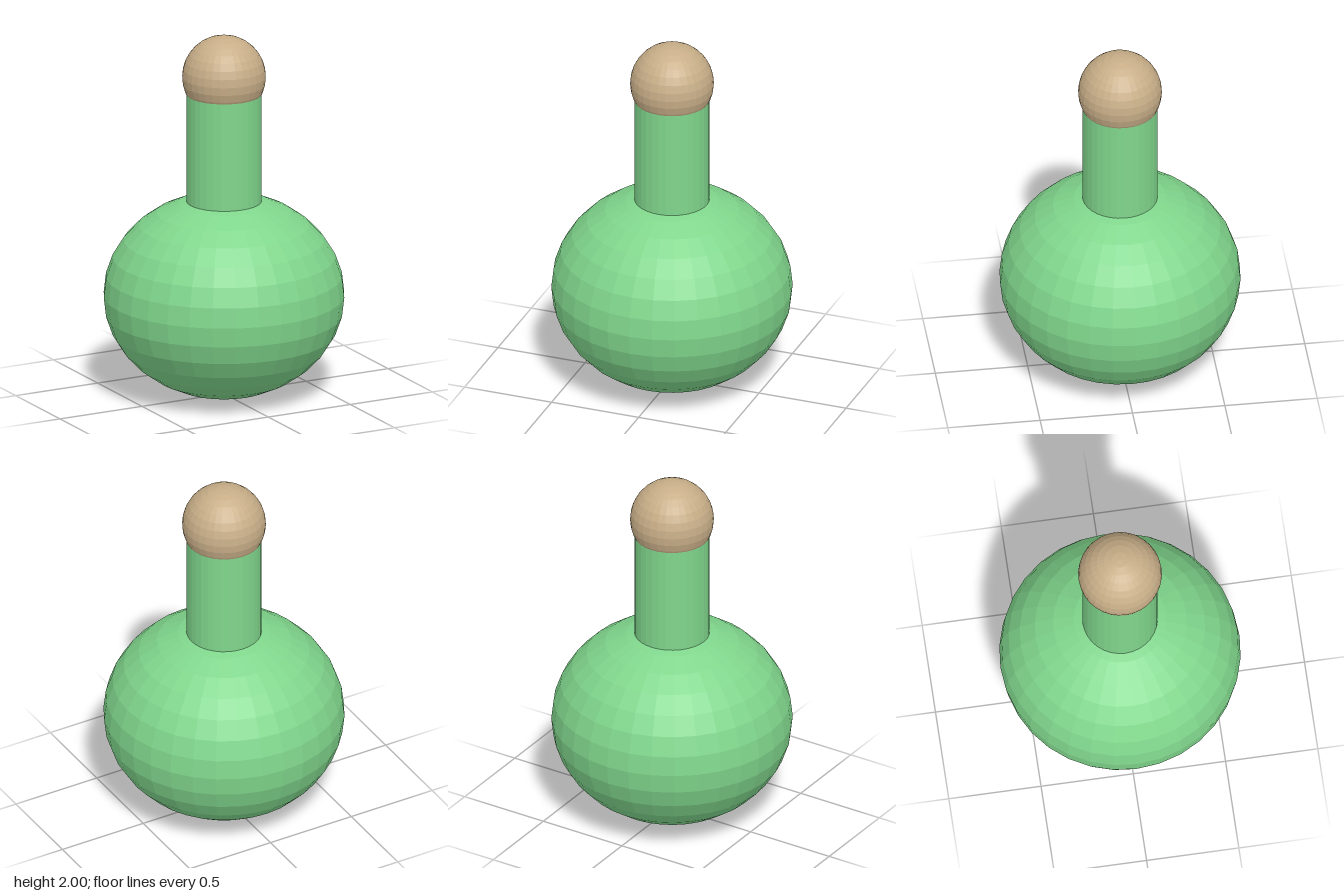
import * as THREE from 'three';

export function createModel() {
  const model = new THREE.Group();

  const add = (name, geometry, color, y) => {
    const material = new THREE.MeshStandardMaterial({ color, flatShading: true });
    const mesh = new THREE.Mesh(geometry, material);
    mesh.name = name;
    mesh.position.y = y;
    model.add(mesh);
  };

  const green = 0x80d68c;
  const cork = 0xc8ae88;

  // Squashed round belly of the flask
  add('body', new THREE.SphereGeometry(0.648, 32, 16).scale(1, 0.555 / 0.648, 1), green, 0.555);

  // Straight neck, running from inside the belly up into the stopper
  add('neck', new THREE.CylinderGeometry(0.202, 0.202, 0.7, 32), green, 1.35);

  // Ball stopper
  add('stopper', new THREE.SphereGeometry(0.225, 32, 16), cork, 1.775);

  return model;
}
